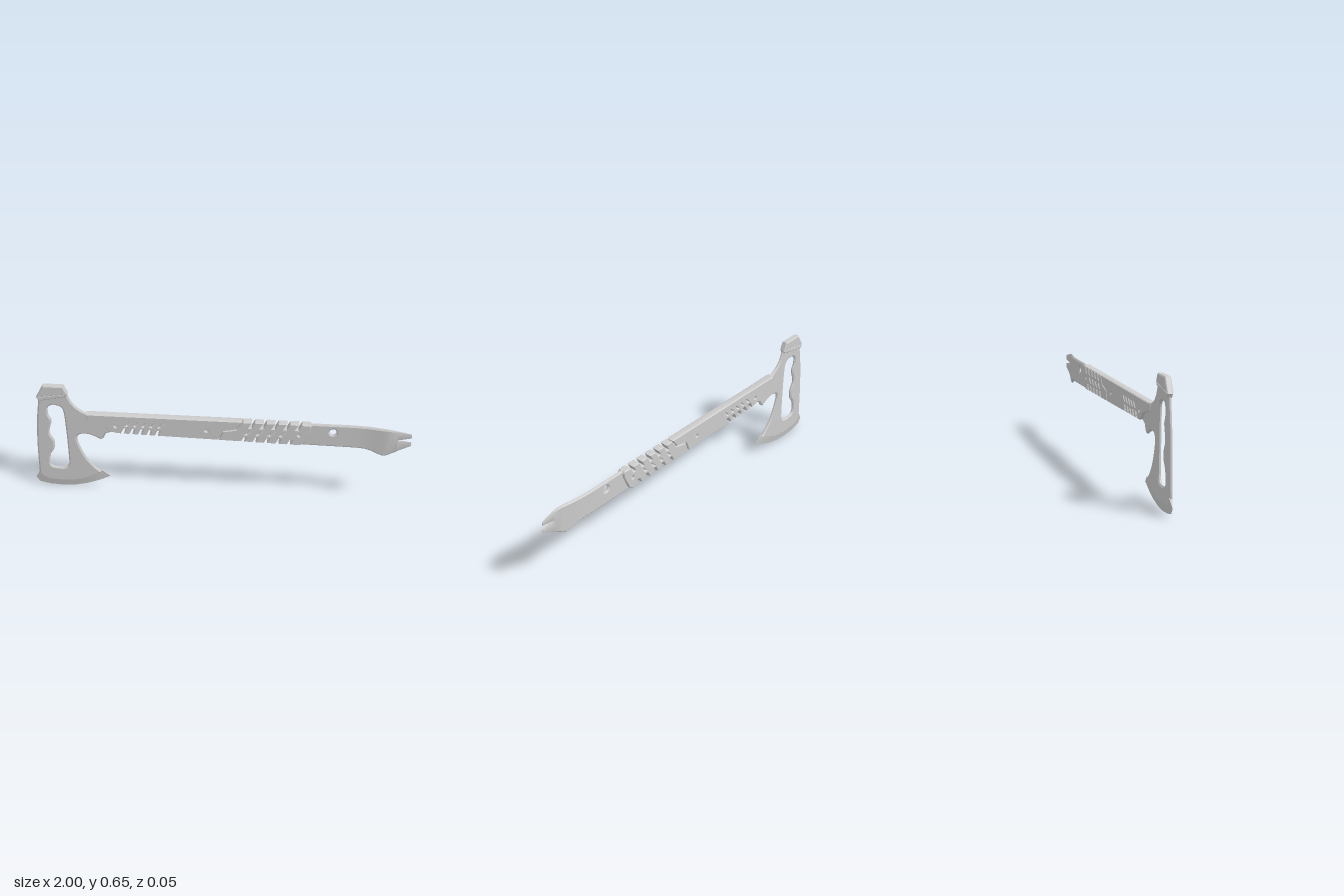
import * as THREE from 'three';
import { toCreasedNormals } from 'three/addons/utils/BufferGeometryUtils.js';

const ZC = -0.004; // middle plane of the tool
const material = new THREE.MeshStandardMaterial({ color: 0xcccccc });
const v2 = (pts) => pts.map(([x, y]) => new THREE.Vector2(x, y));
const smooth = (pts, n) => new THREE.SplineCurve(v2(pts)).getPoints(n).map((p) => [p.x, p.y]);

// Plate with chamfered rims, centred on the middle plane
function plate(name, outline, holes, half, chamferZ, chamferXY) {
  const shape = new THREE.Shape(v2(outline));
  for (const h of holes) shape.holes.push(new THREE.Path(v2(h)));
  const depth = 2 * (half - chamferZ);
  const geo = new THREE.ExtrudeGeometry(shape, {
    depth, bevelEnabled: true, bevelSegments: 1,
    bevelThickness: chamferZ, bevelSize: chamferXY, bevelOffset: -chamferXY,
  });
  geo.translate(0, 0, ZC - depth / 2);
  const mesh = new THREE.Mesh(toCreasedNormals(geo, 0.5), material);
  mesh.name = name;
  return mesh;
}

// Skin over equal-length point loops that follow one another along +x
function loft(name, sections) {
  const pos = [], n = sections[0].length, last = sections[sections.length - 1];
  const tri = (a, b, c) => pos.push(...a, ...b, ...c);
  for (let i = 0; i + 1 < sections.length; i++) {
    for (let j = 0; j < n; j++) {
      const k = (j + 1) % n, s = sections[i], t = sections[i + 1];
      tri(s[j], t[j], t[k]);
      tri(s[j], t[k], s[k]);
    }
  }
  for (let j = 1; j + 1 < n; j++) {
    tri(sections[0][0], sections[0][j], sections[0][j + 1]);
    tri(last[0], last[j + 1], last[j]);
  }
  const geo = new THREE.BufferGeometry();
  geo.setAttribute('position', new THREE.Float32BufferAttribute(pos, 3));
  const mesh = new THREE.Mesh(toCreasedNormals(geo, 0.5), material);
  mesh.name = name;
  return mesh;
}

// Chamfered bar section: x, bottom, top, z centre, half thickness
function barSection([x, y0, y1, z, h]) {
  const c = Math.min(0.008, (y1 - y0) / 4), e = h / 3;
  return [[x, y0 + c, z + h], [x, y1 - c, z + h], [x, y1, z + e], [x, y1, z - e],
    [x, y1 - c, z - h], [x, y0 + c, z - h], [x, y0, z - e], [x, y0, z + e]];
}

const circle = (x, y, r, n = 16) => Array.from({ length: n }, (_, i) => {
  const a = (i / n) * Math.PI * 2;
  return [x + r * Math.cos(a), y + r * Math.sin(a)];
});
const slot = (x, y) => [[x - 0.018, y - 0.012], [x - 0.006, y - 0.012], [x + 0.018, y + 0.012], [x + 0.006, y + 0.012]];
const row = (x, step, n) => Array.from({ length: n }, (_, i) => x + step * i);

// Slanted notches in the lower and upper handle edges
const bottomY = (x) => 0.378 - 0.0185 * (x + 0.5);
const TOP = 0.49;
const bottomNotch = (x, d) => [[x - 0.008, bottomY(x)], [x + 0.007, bottomY(x) + d],
  [x + 0.023, bottomY(x) + d], [x + 0.008, bottomY(x)]];
const topNotch = (x, d) => [[x + 0.008, TOP], [x - 0.01, TOP - d], [x - 0.026, TOP - d], [x - 0.008, TOP]];

export function createModel() {
  const group = new THREE.Group();

  // Axe head and flat bar core in one plate, with finger opening and hanging hole
  const coreOutline = [
    ...smooth([[-0.945, 0.575], [-0.965, 0.43], [-0.975, 0.27], [-0.978, 0.09]], 10),
    [-0.962, 0.056], [-0.92, 0.04], [-0.85, 0.035], [-0.78, 0.04], [-0.725, 0.058], [-0.67, 0.085],
    ...smooth([[-0.634, 0.108], [-0.675, 0.145], [-0.715, 0.2], [-0.745, 0.27], [-0.757, 0.325],
      [-0.738, 0.352], [-0.69, 0.353], [-0.63, 0.325]], 22),
    [-0.615, 0.335], [-0.6, 0.365], [-0.56, 0.38], [-0.53, 0.383],
    [-0.5, 0.41], [0.4, 0.395], [0.44, 0.357], [0.69, 0.354],
    [0.69, TOP], [0.47, TOP], [0.45, 0.455], [0.13, 0.455], [0.08, 0.478], [-0.66, 0.478], [-0.69, TOP],
    ...smooth([[-0.705, 0.492], [-0.74, 0.515], [-0.775, 0.555], [-0.795, 0.61]], 8),
  ];
  const fingerHole = new THREE.SplineCurve(v2([
    [-0.875, 0.532], [-0.9, 0.515], [-0.903, 0.47], [-0.888, 0.43], [-0.9, 0.38], [-0.903, 0.345],
    [-0.882, 0.3], [-0.885, 0.25], [-0.907, 0.21], [-0.913, 0.155], [-0.897, 0.13], [-0.835, 0.126],
    [-0.813, 0.15], [-0.81, 0.2], [-0.812, 0.35], [-0.818, 0.48], [-0.833, 0.52], [-0.875, 0.532],
  ])).getPoints(60).slice(0, -1).map((p) => [p.x, p.y]);
  group.add(plate('headAndBarCore', coreOutline, [fingerHole, circle(0.595, 0.445, 0.018)], 0.009, 0.006, 0.008));

  // Ground cutting edge: lower line and the bevel line above it
  const edge = [[-1, 0.05], [-0.98, 0.018], [-0.92, 0.006], [-0.85, 0.001], [-0.78, 0.008], [-0.715, 0.024], [-0.65, 0.049], [-0.59, 0.08]];
  const bevel = [[-0.974, 0.095], [-0.96, 0.066], [-0.92, 0.05], [-0.85, 0.045], [-0.78, 0.05], [-0.725, 0.068], [-0.67, 0.095], [-0.632, 0.117]];
  group.add(loft('cuttingEdge', edge.map(([x, y], i) => {
    const [bx, by] = bevel[i], h = i === 7 ? 0.005 : 0.009;
    return [[x, y, ZC], [bx, by, ZC + h], [bx, by, ZC - h]];
  })));

  // Hammer poll with a thin collar below it
  group.add(plate('hammerPoll', [[-0.957, 0.578], [-0.79, 0.607], [-0.81, 0.653], [-0.917, 0.653]], [], 0.0165, 0.005, 0.006));
  group.add(plate('hammerCollar', [[-0.944, 0.556], [-0.797, 0.59], [-0.79, 0.61], [-0.957, 0.581]], [], 0.0145, 0.005, 0.005));

  // Forward handle panel
  const panel = [
    [-0.54, bottomY(-0.54)], ...row(-0.51, 0.045, 5).flatMap((x) => bottomNotch(x, 0.032)),
    [-0.002, bottomY(0)], [0.018, 0.425], [0.088, 0.44], [0.123, TOP],
    [-0.7, TOP], [-0.695, 0.46], [-0.68, 0.44], [-0.62, 0.428], [-0.6, 0.415], [-0.58, 0.39],
  ];
  group.add(plate('forwardPanel', panel, [
    ...row(-0.475, 0.043, 5).map((x) => slot(x, 0.44)),
    circle(-0.545, 0.425, 0.009, 10), circle(-0.065, 0.425, 0.009, 10),
  ], 0.021, 0.005, 0.004));

  // Rear hand grip with ribs on both edges
  const grip = [
    [0.002, bottomY(0)], ...row(0.125, 0.06, 5).flatMap((x) => bottomNotch(x, 0.03)),
    [0.425, bottomY(0.425)], [0.447, 0.375], [0.478, 0.45], [0.482, 0.48], [0.475, TOP],
    ...row(0.425, -0.061, 5).flatMap((x) => topNotch(x, 0.034)),
    [0.127, TOP], [0.092, 0.44], [0.022, 0.425],
  ];
  group.add(plate('rearGrip', grip, [
    ...row(0.155, 0.06, 4).map((x) => slot(x, 0.424)),
    circle(0.42, 0.425, 0.009, 10),
  ], 0.0215, 0.005, 0.004));

  // Bent pry end, thinning toward the claw
  group.add(loft('pryEnd', [
    [0.66, 0.354, TOP, ZC, 0.009], [0.72, 0.354, TOP, -0.003, 0.009], [0.765, 0.352, TOP, 0, 0.009],
    [0.8, 0.343, TOP, 0.004, 0.009], [0.83, 0.33, TOP, 0.009, 0.009], [0.855, 0.323, TOP, 0.013, 0.009],
    [0.875, 0.327, TOP, 0.016, 0.008], [0.9, 0.342, 0.488, 0.018, 0.007], [0.928, 0.357, 0.482, 0.019, 0.005],
  ].map(barSection)));

  // Two claw prongs with a V between them
  group.add(loft('lowerProng', [[0.92, 0.353, 0.427, 0.0187, 0.0055], [0.95, 0.37, 0.425, 0.018, 0.004],
    [1, 0.392, 0.416, 0.015, 0.001]].map(barSection)));
  group.add(loft('upperProng', [[0.92, 0.427, 0.484, 0.0187, 0.0055], [0.95, 0.432, 0.478, 0.018, 0.004],
    [1, 0.441, 0.465, 0.015, 0.001]].map(barSection)));

  return group;
}
